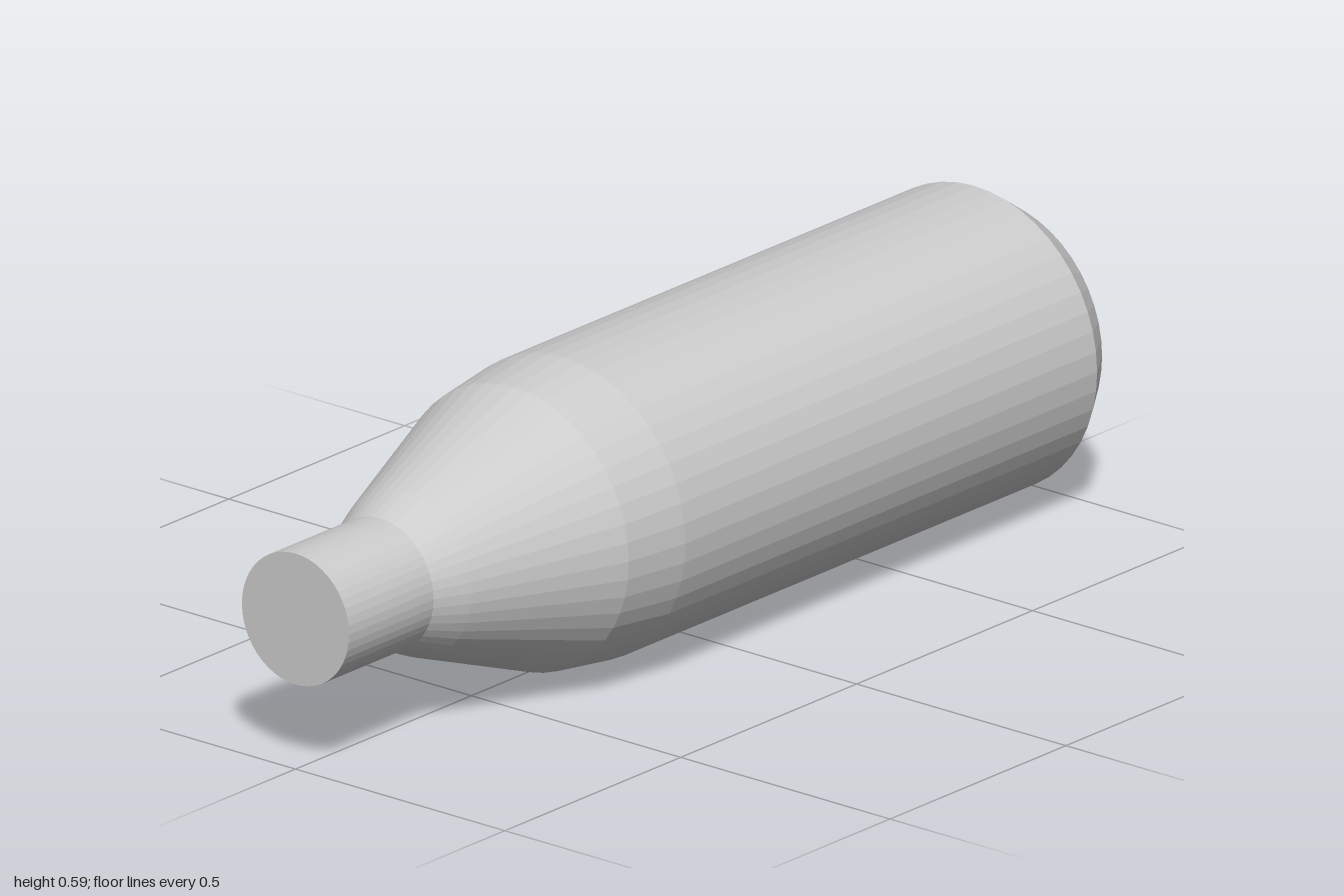
import * as THREE from 'three';

const SIDES = 48;
const RADIUS = 0.293;

export function createModel() {
  const group = new THREE.Group();
  group.name = 'bottle';
  const material = new THREE.MeshStandardMaterial({ color: 0xcccccc, flatShading: true });

  // Turns a [radius, z] profile around the lengthwise axis
  function addTurned(name, profile) {
    const points = profile.map(([r, z]) => new THREE.Vector2(r, z));
    const geometry = new THREE.LatheGeometry(points, SIDES);
    geometry.rotateX(Math.PI / 2);
    const mesh = new THREE.Mesh(geometry, material);
    mesh.name = name;
    mesh.position.y = RADIUS;
    group.add(mesh);
  }

  // Cylinder body with flat, chamfered base
  addTurned('body', [[0, -1], [0.246, -1], [RADIUS, -0.93], [RADIUS, 0.24]]);
  // Shoulder tapering towards the neck
  addTurned('shoulder', [[RADIUS, 0.24], [0.275, 0.38], [0.16, 0.69], [0.128, 0.76]]);
  // Straight neck with closed end
  addTurned('neck', [[0.128, 0.76], [0.128, 1], [0, 1]]);

  return group;
}
